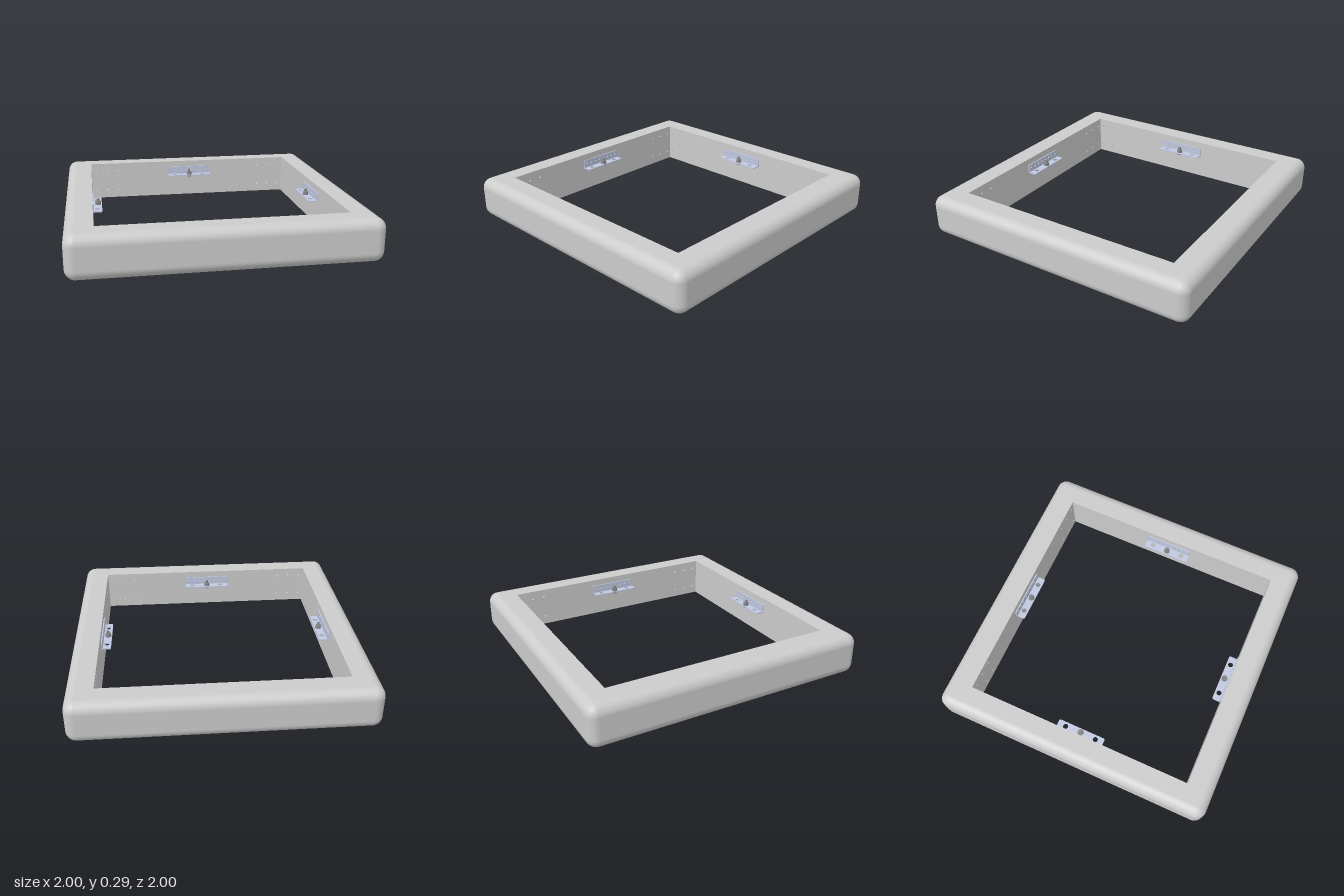
import * as THREE from 'three';

const H = 0.29, R = 0.07, INNER = 0.815;
const grey = new THREE.MeshStandardMaterial({ color: 0xcccccc });
const steel = new THREE.MeshStandardMaterial({ color: 0xc0c8e0 });
const dark = new THREE.MeshStandardMaterial({ color: 0x8a8a8a });
const bore = new THREE.MeshStandardMaterial({ color: 0xcccccc, side: THREE.DoubleSide });

function add(parent, name, geometry, material, x = 0, y = 0, z = 0) {
  const mesh = new THREE.Mesh(geometry, material);
  mesh.name = name;
  mesh.position.set(x, y, z);
  parent.add(mesh);
  return mesh;
}

function punch(shape, x, y, r) {
  shape.holes.push(new THREE.Path().absarc(x, y, r, 0, Math.PI * 2, true));
}

function square(half, Type) {
  return new Type([[-1, -1], [1, -1], [1, 1], [-1, 1]].map(([x, y]) => new THREE.Vector2(x * half, y * half)));
}

// Outer skin: the sides of a box with every edge and corner rounded
function outerSkin() {
  const n = 10, pos = [], nor = [], idx = [], cols = 4 * (n + 1) + 1;
  const rows = [];
  for (let k = 0; k <= n; k++) rows.push([(k / n - 1) * Math.PI / 2, R]);
  for (let k = 0; k <= n; k++) rows.push([(k / n) * Math.PI / 2, H - R]);
  rows.forEach(([phi, cy], j) => {
    for (let i = 0; i < cols; i++) {
      const corner = Math.floor(i / (n + 1)) % 4;
      const t = (corner + (i % (n + 1)) / n) * Math.PI / 2;
      const mid = (corner + 0.5) * Math.PI / 2;
      const nx = Math.cos(phi) * Math.cos(t), ny = Math.sin(phi), nz = Math.cos(phi) * Math.sin(t);
      pos.push(Math.sign(Math.cos(mid)) * (1 - R) + R * nx, cy + R * ny, Math.sign(Math.sin(mid)) * (1 - R) + R * nz);
      nor.push(nx, ny, nz);
      if (i < cols - 1 && j < rows.length - 1) {
        const a = j * cols + i, b = a + cols;
        idx.push(a, b, a + 1, b, b + 1, a + 1);
      }
    }
  });
  const g = new THREE.BufferGeometry();
  g.setAttribute('position', new THREE.Float32BufferAttribute(pos, 3));
  g.setAttribute('normal', new THREE.Float32BufferAttribute(nor, 3));
  g.setIndex(idx);
  return g;
}

// Inner wall with screw holes near both ends; lies in z = 0, facing +z
function innerWall() {
  const wall = new THREE.Group();
  wall.name = 'innerWall';
  const shape = new THREE.Shape([[-INNER, 0], [INNER, 0], [INNER, H], [-INNER, H]].map(p => new THREE.Vector2(...p)));
  const r = 0.007, depth = 0.04;
  for (const side of [-1, 1]) for (const d of [0.035, 0.125, 0.215]) for (const y of [0.065, 0.23]) {
    const x = side * (INNER - d);
    punch(shape, x, y, r);
    const tube = new THREE.CylinderGeometry(r, r, depth, 12, 1, true).rotateX(Math.PI / 2);
    add(wall, 'screwHole', tube, bore, x, y, -depth / 2);
    add(wall, 'screwHoleEnd', new THREE.CircleGeometry(r, 12), bore, x, y, -depth);
  }
  add(wall, 'wallPanel', new THREE.ShapeGeometry(shape, 6), grey);
  return wall;
}

// One leg of the angle bracket, with rounded free corners
function bracketLeg(holes) {
  const w = 0.175, d = 0.065, c = 0.012;
  const s = new THREE.Shape();
  s.moveTo(-w, 0);
  s.lineTo(w, 0);
  s.lineTo(w, d - c);
  s.quadraticCurveTo(w, d, w - c, d);
  s.lineTo(-w + c, d);
  s.quadraticCurveTo(-w, d, -w, d - c);
  s.closePath();
  for (const [x, y, r] of holes) punch(s, x, y, r);
  return new THREE.ExtrudeGeometry(s, { depth: 0.008, bevelEnabled: false, curveSegments: 12 });
}

// Angle bracket with its clamping bolt
function bracket() {
  const g = new THREE.Group();
  g.name = 'bracket';
  const row = [];
  for (let i = 0; i < 8; i++) row.push([(i - 3.5) * 0.042, 0.04, 0.007]);
  add(g, 'wallLeg', bracketLeg(row), steel, 0, 0.177, 0);
  const shelf = bracketLeg([[-0.115, 0.034, 0.018], [0.115, 0.034, 0.018]]).rotateX(Math.PI / 2);
  add(g, 'shelfLeg', shelf, steel, 0, 0.183, 0);
  const z = 0.038;
  add(g, 'boltShank', new THREE.CylinderGeometry(0.01, 0.01, 0.065, 16), dark, 0, 0.194, z);
  add(g, 'washer', new THREE.CylinderGeometry(0.022, 0.022, 0.004, 24), dark, 0, 0.185, z);
  add(g, 'upperNut', new THREE.CylinderGeometry(0.02, 0.02, 0.02, 6).toNonIndexed(), dark, 0, 0.197, z);
  add(g, 'boltHead', new THREE.CylinderGeometry(0.018, 0.018, 0.012, 6), dark, 0, 0.169, z);
  return g;
}

export function createModel() {
  const model = new THREE.Group();
  model.name = 'squareFrame';

  // Rounded frame body
  add(model, 'outerSkin', outerSkin(), grey);
  const ring = square(1 - R, THREE.Shape);
  ring.holes.push(square(INNER, THREE.Path));
  add(model, 'topFace', new THREE.ShapeGeometry(ring).rotateX(-Math.PI / 2), grey, 0, H, 0);
  add(model, 'bottomFace', new THREE.ShapeGeometry(ring).rotateX(Math.PI / 2), grey);

  // Four inner sides, each with a bracket at its middle
  for (let k = 0; k < 4; k++) {
    const side = new THREE.Group();
    side.name = 'innerSide';
    const wall = innerWall(), mount = bracket();
    wall.position.z = mount.position.z = -INNER;
    side.add(wall, mount);
    side.rotation.y = k * Math.PI / 2;
    model.add(side);
  }
  return model;
}
